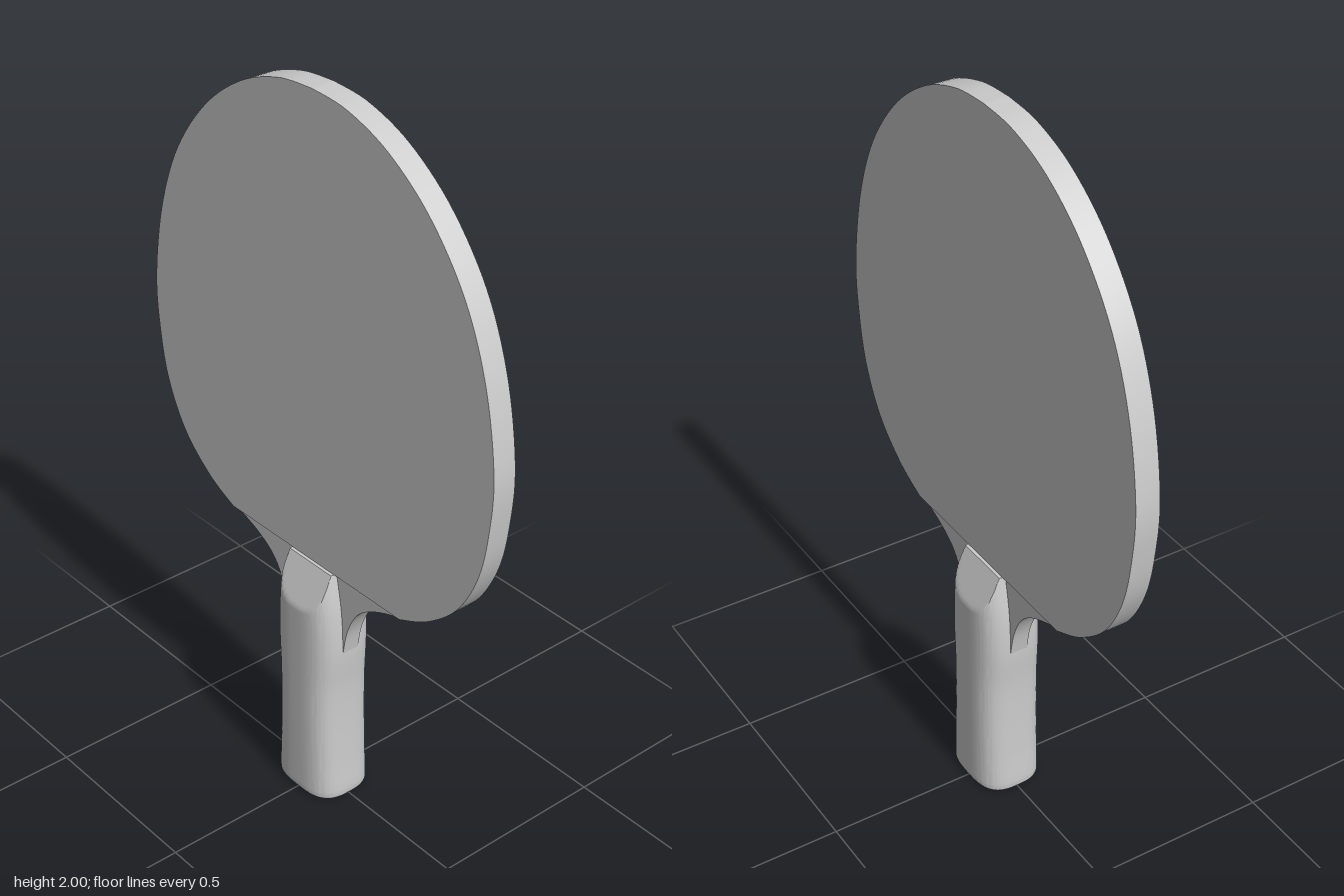
import * as THREE from 'three';
import { toCreasedNormals } from 'three/addons/utils/BufferGeometryUtils.js';

const material = new THREE.MeshStandardMaterial({ color: 0xcccccc });
const RUBBER_EDGE = 0.715; // height where the rubber sheets and the handle meet

const spline = (pts, n) =>
  new THREE.SplineCurve(pts.map(([x, y]) => new THREE.Vector2(x, y))).getPoints(n);

function part(name, geometry) {
  const mesh = new THREE.Mesh(toCreasedNormals(geometry, 0.5), material);
  mesh.name = name;
  return mesh;
}

// Mirrors a +x outline (top to bottom) and extrudes it from z0 to z1
function slab(half, z0, z1) {
  const mirrored = half.filter(p => p.x > 1e-4).map(p => new THREE.Vector2(-p.x, p.y)).reverse();
  const geometry = new THREE.ExtrudeGeometry(new THREE.Shape([...half, ...mirrored]),
    { depth: z1 - z0, bevelEnabled: false });
  return geometry.translate(0, 0, z0);
}

// Handle: rounded cross-sections, cut by a sloping thumb facet front and back
function handleGeometry() {
  const sides = 96;
  const widths = spline([[0.104, 0], [0.113, 0.018], [0.108, 0.12], [0.104, 0.25], [0.104, 0.36],
    [0.11, 0.48], [0.104, 0.6], [0.084, RUBBER_EDGE]], 90);
  const round = v => Math.sign(v) * Math.pow(Math.abs(v), 2 / 3);
  const pos = [], index = [];
  for (const { x: w, y } of widths) {
    const facet = THREE.MathUtils.mapLinear(y, 0.6, RUBBER_EDGE, 0.093, 0.042);
    const depth = y < 0.01 ? 0.086 + y * 0.7 : 0.093;
    for (let i = 0; i < sides; i++) {
      const a = i / sides * Math.PI * 2;
      const z = THREE.MathUtils.clamp(depth * round(Math.sin(a)), -facet, facet);
      pos.push(w * round(Math.cos(a)), y, z);
    }
  }
  const rows = widths.length;
  for (let r = 0; r < rows - 1; r++) {
    for (let i = 0; i < sides; i++) {
      const j = (i + 1) % sides;
      const a = r * sides + i, b = r * sides + j;
      index.push(a, a + sides, b, b, a + sides, b + sides);
    }
  }
  // End caps
  const bottom = pos.length / 3, top = bottom + 1, last = (rows - 1) * sides;
  pos.push(0, 0, 0, 0, RUBBER_EDGE, 0);
  for (let i = 0; i < sides; i++) {
    const j = (i + 1) % sides;
    index.push(bottom, i, j, top, last + j, last + i);
  }
  const geometry = new THREE.BufferGeometry();
  geometry.setAttribute('position', new THREE.Float32BufferAttribute(pos, 3));
  geometry.setIndex(index);
  return geometry;
}

export function createModel() {
  const group = new THREE.Group();
  group.name = 'tableTennisBat';

  // Right half of the head, then the concave neck running into the handle
  const head = spline([[0, 2], [0.12, 1.988], [0.26, 1.935], [0.4, 1.83], [0.52, 1.675], [0.595, 1.49],
    [0.632, 1.28], [0.625, 1.12], [0.596, 0.98], [0.53, 0.855], [0.43, 0.765], [0.33, RUBBER_EDGE]], 72);
  const neck = spline([[0.33, RUBBER_EDGE], [0.24, 0.683], [0.17, 0.637], [0.129, 0.565],
    [0.11, 0.48], [0.098, 0.4]], 24);

  group.add(part('blade', slab([...head, ...neck.slice(1), new THREE.Vector2(0.09, 0.05)], -0.025, 0.025)));
  group.add(part('frontRubber', slab(head, 0.025, 0.033)));
  group.add(part('backRubber', slab(head, -0.033, -0.025)));
  group.add(part('handle', handleGeometry()));
  return group;
}
